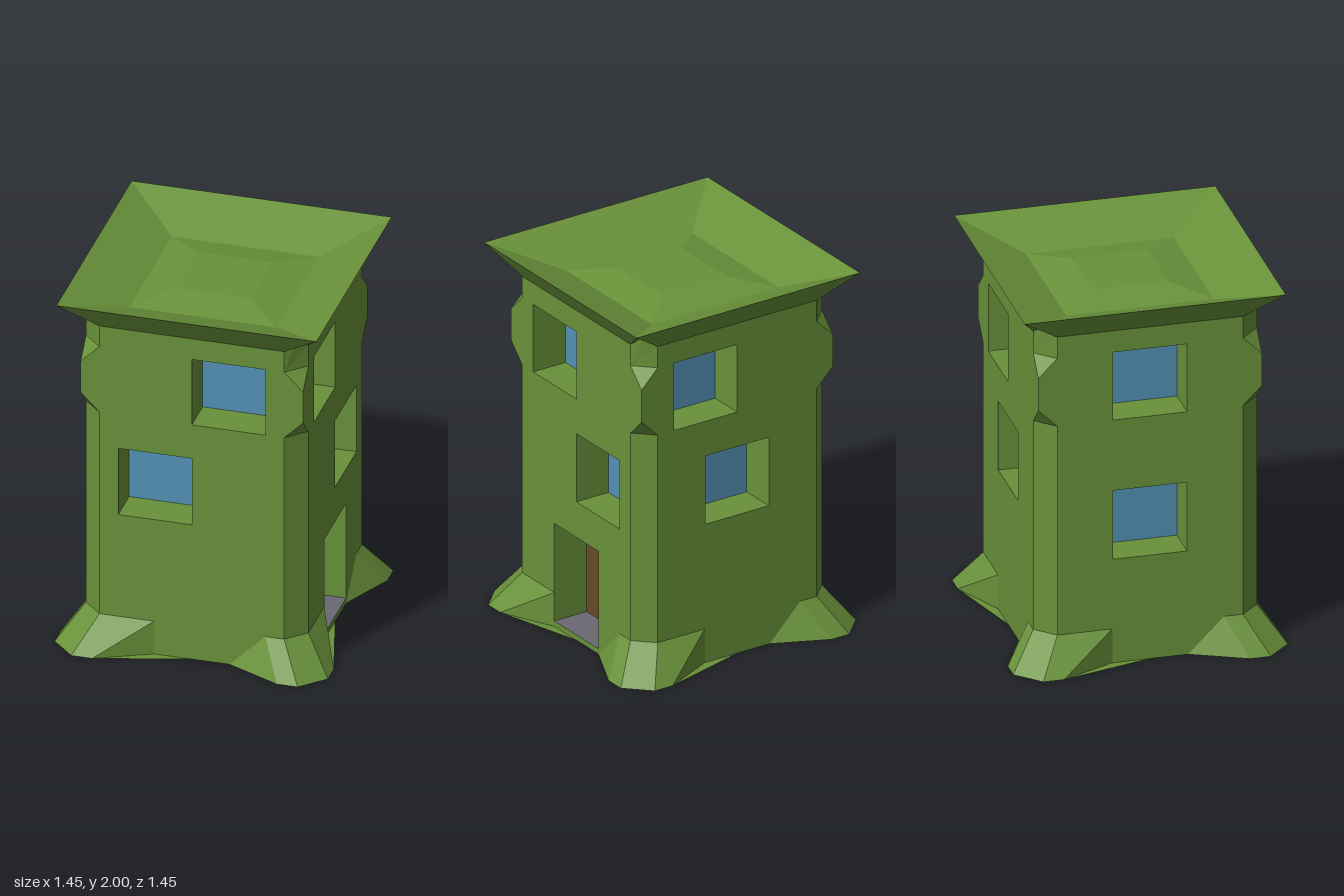
import * as THREE from 'three';

const W = 0.59;      // half width of the tower
const C = 0.49;      // where the corner bevel starts
const DEPTH = 0.2;   // depth of window and door recesses

const mat = (name, color, side = THREE.FrontSide) => {
  const m = new THREE.MeshStandardMaterial({ color, side });
  m.name = name;
  return m;
};

// Flat faces from polygons given as corner lists, counter-clockwise from outside
function facets(polygons) {
  const pos = [];
  for (const p of polygons)
    for (let i = 1; i < p.length - 1; i++) pos.push(...p[0], ...p[i], ...p[i + 1]);
  const g = new THREE.BufferGeometry();
  g.setAttribute('position', new THREE.Float32BufferAttribute(pos, 3));
  g.computeVertexNormals();
  return g;
}

// Adds copies mirrored across the corner diagonal
const mirrored = (polys) => polys.concat(
  polys.map((p) => p.map(([x, y, z]) => [z, y, x]).reverse()));

function mesh(name, geometry, material) {
  const m = new THREE.Mesh(geometry, material);
  m.name = name;
  return m;
}

export function createModel() {
  const green = mat('green stone', 0x69923a);
  const blue = mat('blue glass', 0x5392b5);
  const brown = mat('brown door', 0x664a24);
  const grey = mat('grey sill', 0x6a6870);
  const tower = new THREE.Group();
  tower.name = 'tower';

  // Wall with recessed openings, built facing +z; openings are [u0, y0, u1, y1, kind]
  function wall(name, openings) {
    const group = new THREE.Group();
    group.name = name;
    const edge = [[C, 0], [C, 1.36], [W, 1.46], [W, 1.64], [C, 1.74], [C, 1.86]];
    const outline = edge.concat(edge.map(([x, y]) => [-x, y]).reverse());
    const shape = new THREE.Shape(outline.map(([x, y]) => new THREE.Vector2(x, y)));
    for (const [u0, y0, u1, y1, kind] of openings) {
      const c = [[u0, y0], [u1, y0], [u1, y1], [u0, y1]];
      shape.holes.push(new THREE.Path(c.map(([x, y]) => new THREE.Vector2(x, y)).reverse()));
      const sides = c.map((a, i) => {
        const b = c[(i + 1) % 4];
        return [[...a, W], [...b, W], [...b, W - DEPTH], [...a, W - DEPTH]];
      });
      const isDoor = kind === 'door';
      group.add(mesh(kind + 'Sill', facets([sides[0]]), isDoor ? grey : green));
      group.add(mesh(kind + 'Reveal', facets(sides.slice(1)), green));
      group.add(mesh(isDoor ? 'door' : 'windowPane',
        facets([c.map((p) => [...p, W - DEPTH])]), isDoor ? brown : blue));
    }
    const face = new THREE.ShapeGeometry(shape);
    face.translate(0, 0, W);
    group.add(mesh(name + 'Face', face, green));
    return group;
  }

  const upper = (u) => [u, 1.36, u + 0.39, 1.74, 'window'];
  const lower = (u, y = 0.78) => [u, y, u + 0.39, y + 0.385, 'window'];
  const walls = [
    wall('frontWall', [upper(0), lower(-0.39)]),
    wall('doorWall', [upper(-0.39), lower(0), [-0.2, 0.03, 0.2, 0.58, 'door']]),
    wall('backWall', [upper(-0.39), lower(-0.195)]),
    wall('sideWall', [upper(-0.195), lower(-0.195, 0.58)]),
  ];

  // One quarter of everything at a corner, built at +x +z
  const P = (y) => [C, y, W];
  const Q = (y) => [W, y, C];
  const full = (y) => [W, y, W];
  const peak = [0.545, 1.91, 0.545];
  const rim = [0.69, 2, 0.69];

  // Bevelled edge with a square block near the top
  const bevel = facets([
    [P(0.19), Q(0.19), Q(1.36), P(1.36)],
    [P(1.36), Q(1.36), full(1.46)],
    [full(1.64), Q(1.74), P(1.74)],
    [P(1.74), Q(1.74), Q(1.86), peak, P(1.86)],
  ]);
  // Spreading foot
  const F = 0.725;
  const foot = facets([
    ...mirrored([
      [[0.2, 0, W], [C, 0, F], [0.39, 0.19, W], [0.2, 0.19, W]],
      [[C, 0, F], [0.6, 0, F], P(0.19), [0.39, 0.19, W]],
    ]),
    [[0.6, 0, F], [F, 0, 0.6], Q(0.19), P(0.19)],
  ]);
  const underside = facets(mirrored([
    [[0, 0, 0], [0.6625, 0, 0.6625], [0.6, 0, F], [C, 0, F], [0.2, 0, W], [0, 0, W]],
  ]));
  // Flared crown and its sunken roof with a low mound
  const crown = facets(mirrored([
    [[0, 1.86, W], P(1.86), rim, [0, 2, 0.69]],
    [P(1.86), peak, rim],
  ]));
  const roof = facets([
    ...mirrored([
      [[0, 2, 0.69], rim, [0.39, 1.88, 0.39], [0, 1.88, 0.39]],
      [[0, 1.88, 0.39], [0.39, 1.88, 0.39], [0.2, 1.92, 0.2], [0, 1.92, 0.2]],
    ]),
    [[0, 1.92, 0.2], [0.2, 1.92, 0.2], [0.2, 1.92, 0], [0, 1.92, 0]],
  ]);

  walls.forEach((w, i) => {
    const corner = new THREE.Group();
    corner.name = 'corner';
    corner.add(
      mesh('bevelledEdge', bevel, green),
      mesh('foot', foot, green),
      mesh('underside', underside, green),
      mesh('crown', crown, green),
      mesh('roof', roof, green),
    );
    w.rotation.y = corner.rotation.y = i * Math.PI / 2;
    tower.add(w, corner);
  });
  return tower;
}
